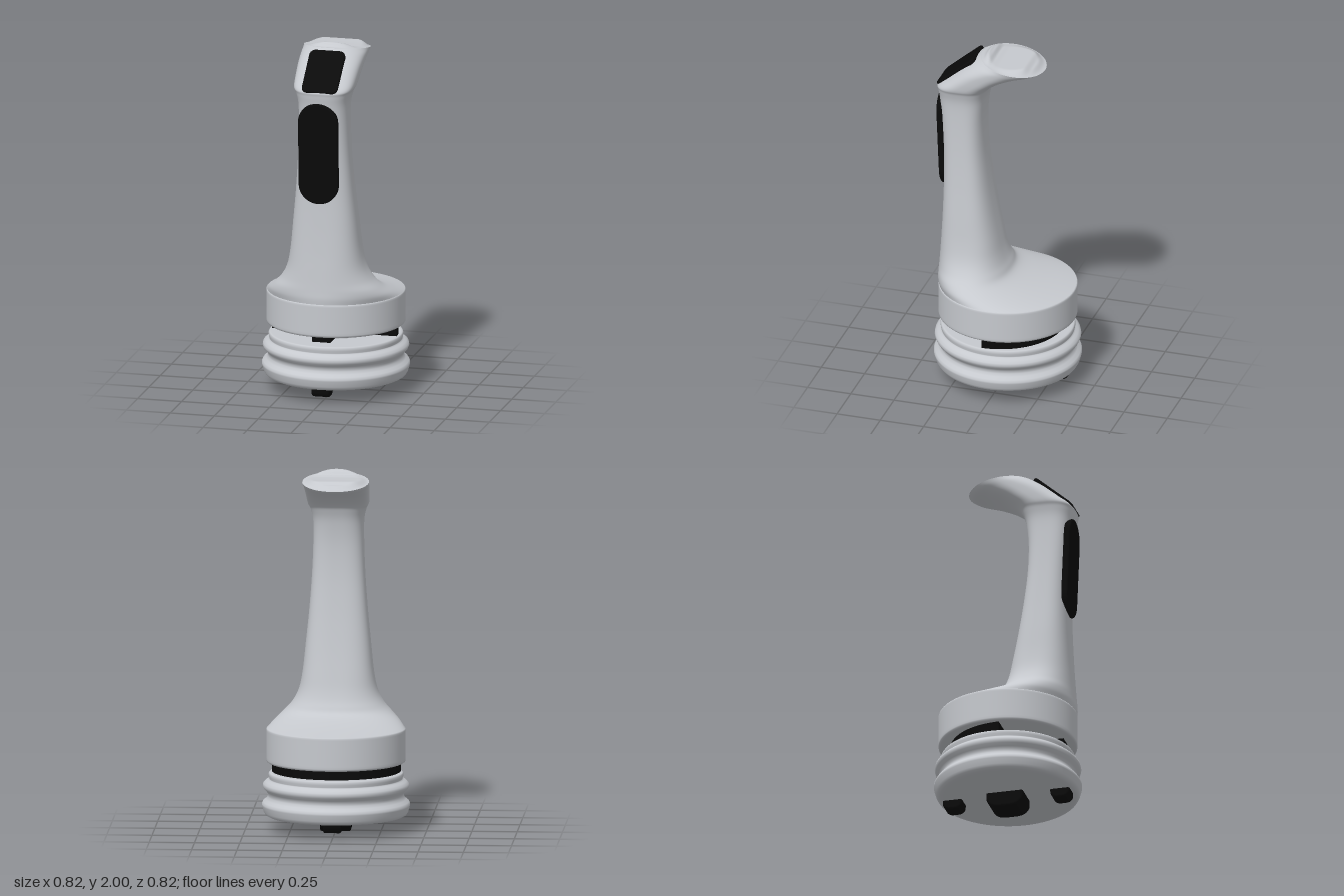
import * as THREE from 'three';

const shell = new THREE.MeshStandardMaterial({ color: 0xc6c9ce });
shell.name = 'light grey shell';
const black = new THREE.MeshStandardMaterial({ color: 0x0a0a0a });
black.name = 'black rubber';

const COLS = 80;

function add(group, name, geometry, material) {
  const mesh = new THREE.Mesh(geometry, material);
  mesh.name = name;
  group.add(mesh);
  return mesh;
}

// Skin a stack of closed rings; at(row, angle) returns [x, y, z]
function skin(rows, at) {
  const pos = [], index = [];
  for (let i = 0; i <= rows; i++) {
    for (let j = 0; j < COLS; j++) pos.push(...at(i / rows, (j / COLS) * Math.PI * 2));
  }
  for (let i = 0; i < rows; i++) {
    for (let j = 0; j < COLS; j++) {
      const k = (j + 1) % COLS;
      const a = i * COLS + j, b = i * COLS + k, c = a + COLS, d = b + COLS;
      index.push(a, b, d, a, d, c);
    }
  }
  const g = new THREE.BufferGeometry();
  g.setAttribute('position', new THREE.Float32BufferAttribute(pos, 3));
  g.setIndex(index);
  g.computeVertexNormals();
  return g;
}

const power = (v, n) => Math.sign(v) * Math.pow(Math.abs(v), 2 / n);

// Point on a tilted superellipse ring between a front and a back point
function ringPoint(f, b, w, n, a) {
  const c = power(Math.cos(a), n);
  return [w * power(Math.sin(a), n),
    (f.y + b.y) / 2 + (f.y - b.y) / 2 * c,
    (f.x + b.x) / 2 + (f.x - b.x) / 2 * c];
}

const lathe = (pts) => new THREE.LatheGeometry(pts.map(p => new THREE.Vector2(...p)), 96);

function roundedRect(w, h, r) {
  const s = new THREE.Shape(), x = w / 2, y = h / 2;
  s.absarc(x - r, y - r, r, 0, Math.PI / 2);
  s.absarc(-x + r, y - r, r, Math.PI / 2, Math.PI);
  s.absarc(-x + r, -y + r, r, Math.PI, Math.PI * 1.5);
  s.absarc(x - r, -y + r, r, Math.PI * 1.5, Math.PI * 2);
  return s;
}

// Centred pad facing +z with softened edges
function pad(w, h, r, depth, bevel) {
  const g = new THREE.ExtrudeGeometry(roundedRect(w - 2 * bevel, h - 2 * bevel, r - bevel), {
    depth: depth - 2 * bevel, bevelSize: bevel, bevelThickness: bevel, bevelSegments: 3, curveSegments: 16,
  });
  return g.translate(0, 0, bevel - depth / 2);
}

// Handle sections: front z, front y, back z, back y, half width, squareness
const SECTIONS = [
  [0.380, 0.570, -0.380, 0.570, 0.380, 2],
  [0.382, 0.602, -0.190, 0.602, 0.345, 2.05],
  [0.379, 0.640, -0.050, 0.640, 0.300, 2.15],
  [0.375, 0.690, -0.008, 0.690, 0.253, 2.3],
  [0.370, 0.760, 0.020, 0.760, 0.217, 2.5],
  [0.363, 0.860, 0.043, 0.860, 0.196, 2.7],
  [0.355, 1.020, 0.074, 1.020, 0.179, 2.8],
  [0.350, 1.200, 0.103, 1.200, 0.161, 2.9],
  [0.353, 1.390, 0.125, 1.390, 0.147, 2.9],
  [0.363, 1.560, 0.131, 1.560, 0.140, 2.9],
  [0.376, 1.690, 0.119, 1.690, 0.140, 2.9],
  [0.385, 1.755, 0.100, 1.760, 0.153, 3],
  [0.383, 1.785, 0.083, 1.790, 0.167, 3],
  [0.325, 1.833, 0.045, 1.822, 0.173, 3],
  [0.250, 1.898, -0.015, 1.855, 0.177, 2.8],
  [0.190, 1.946, -0.100, 1.884, 0.180, 2.4],
  [0.160, 1.969, -0.180, 1.902, 0.182, 2.1],
  [0.148, 1.976, -0.215, 1.918, 0.184, 2],
];

function handleGeometry() {
  const curve = (p, q) => new THREE.SplineCurve(SECTIONS.map(s => new THREE.Vector2(s[p], s[q])));
  const front = curve(0, 1), back = curve(2, 3), size = curve(4, 5);
  return skin(102, (t, a) => {
    const s = size.getPoint(t);
    return ringPoint(front.getPoint(t), back.getPoint(t), s.x, s.y, a);
  });
}

// Dished top of the head with a raised lip behind the upper pad
const TOP = [[-0.215, 1.918], [-0.16, 1.945], [-0.12, 1.962], [-0.05, 1.961], [0.02, 1.962],
  [0.06, 1.968], [0.085, 1.99], [0.105, 2.0], [0.125, 1.99], [0.148, 1.976]];

function topHeight(z) {
  for (let i = 1; i < TOP.length; i++) {
    const [z0, y0] = TOP[i - 1], [z1, y1] = TOP[i];
    if (z <= z1) return THREE.MathUtils.lerp(y0, y1, THREE.MathUtils.smoothstep(z, z0, z1));
  }
  return 1.976;
}

function headTopGeometry() {
  const [fz, fy, bz, by, w, n] = SECTIONS[SECTIONS.length - 1];
  const f = new THREE.Vector2(fz, fy), b = new THREE.Vector2(bz, by);
  const mid = [0, (fy + by) / 2, (fz + bz) / 2];
  return skin(28, (t, a) => {
    const r = Math.max(1 - t, 0.001);
    const p = ringPoint(f, b, w, n, a).map((v, i) => mid[i] + (v - mid[i]) * r);
    p[1] = THREE.MathUtils.lerp(p[1], topHeight(p[2]), THREE.MathUtils.smoothstep(1 - r, 0, 0.28));
    return p;
  });
}

// Foot with a rounded underside, extruded across x
function footGeometry(halfLength, halfWidth, bottom) {
  const top = 0.095, h = top - bottom, l = halfLength - 0.01;
  const s = new THREE.Shape();
  s.moveTo(-l, top);
  s.lineTo(-l, top - h * 0.35);
  s.bezierCurveTo(-l, bottom + h * 0.3, -l * 0.7, bottom + 0.01, -l * 0.3, bottom + 0.01);
  s.lineTo(l * 0.3, bottom + 0.01);
  s.bezierCurveTo(l * 0.7, bottom + 0.01, l, bottom + h * 0.3, l, top - h * 0.35);
  s.lineTo(l, top);
  const g = new THREE.ExtrudeGeometry(s, {
    depth: 2 * halfWidth - 0.02, bevelSize: 0.01, bevelThickness: 0.01, bevelSegments: 3, curveSegments: 12,
  });
  return g.translate(0, 0, 0.01 - halfWidth).rotateY(Math.PI / 2);
}

export function createModel() {
  const model = new THREE.Group();
  model.name = 'handheldDevice';

  // Ribbed base
  add(model, 'ribbedBase', lathe([
    [0, 0.083], [0.36, 0.083], [0.375, 0.084], [0.39, 0.092], [0.399, 0.108], [0.408, 0.14], [0.409, 0.15],
    [0.402, 0.163], [0.385, 0.175], [0.375, 0.19], [0.374, 0.205], [0.383, 0.22], [0.398, 0.235],
    [0.404, 0.25], [0.401, 0.264], [0.388, 0.276], [0.374, 0.283], [0.368, 0.288], [0.367, 0.292],
    [0.371, 0.305], [0.371, 0.318], [0.366, 0.325], [0.355, 0.326], [0, 0.326],
  ]), shell);

  // Neck between base and collar
  add(model, 'neck', new THREE.CylinderGeometry(0.18, 0.18, 0.08, 48), shell).position.y = 0.355;

  // Rear half-round gasket and front catch
  const gasket = add(model, 'rearGasket',
    new THREE.CylinderGeometry(0.355, 0.355, 0.064, 48, 1, false, Math.PI / 2, Math.PI), black);
  gasket.position.set(0, 0.356, 0.04);
  add(model, 'gasketFace', new THREE.BoxGeometry(0.708, 0.064, 0.006), black).position.set(0, 0.356, 0.037);
  add(model, 'frontCatch', new THREE.BoxGeometry(0.105, 0.045, 0.105), black).position.set(0, 0.366, 0.277);

  // Collar
  add(model, 'collar', lathe([
    [0, 0.382], [0.365, 0.382], [0.375, 0.383], [0.382, 0.388], [0.3835, 0.396], [0.384, 0.41],
    [0.384, 0.555], [0.384, 0.563], [0.382, 0.569], [0.377, 0.571], [0.37, 0.571],
  ]), shell);

  // Handle and head
  add(model, 'handle', handleGeometry(), shell);
  add(model, 'headTop', headTopGeometry(), shell);

  // Grip pad on the front of the handle
  const grip = add(model, 'gripPad', pad(0.224, 0.578, 0.111, 0.036, 0.008), black);
  grip.position.set(-0.008, 1.428, 0.358);
  grip.rotation.x = 0.04;

  // Pad on the sloping front of the head
  const headPad = add(model, 'headPad', pad(0.204, 0.285, 0.035, 0.034, 0.008), black);
  headPad.position.set(0, 1.866, 0.272);
  headPad.rotation.x = -0.855;

  // Feet
  add(model, 'centreFoot', footGeometry(0.104, 0.084, 0.006), black);
  for (const side of [1, -1]) {
    add(model, side > 0 ? 'frontFoot' : 'rearFoot', footGeometry(0.055, 0.05, 0.033), black).position.z = 0.306 * side;
  }

  // Settle the lowest foot on the ground
  model.children.forEach(part => { if (part.name === 'centreFoot') part.position.y = -0.006; });
  return model;
}
